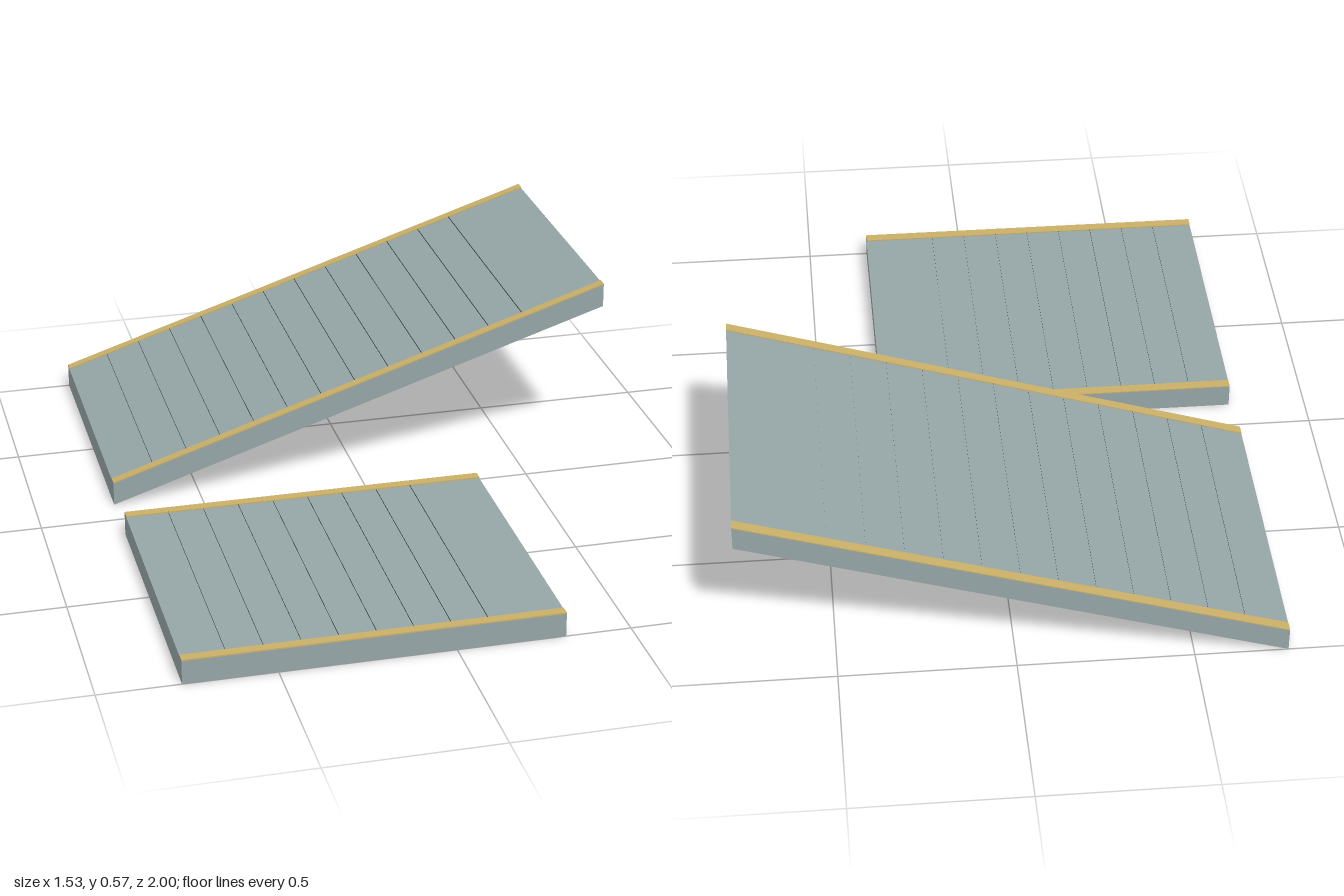
import * as THREE from 'three';

const slabMat = new THREE.MeshStandardMaterial({ color: 0x95a5a6 });
slabMat.name = 'grey slab';
const trimMat = new THREE.MeshStandardMaterial({ color: 0xc9b068 });
trimMat.name = 'ochre trim';
const ribMat = new THREE.MeshStandardMaterial({ color: 0x3e484a, side: THREE.DoubleSide });
ribMat.name = 'dark rib';

const X0 = -0.765, THICK = 0.07, DEPTH = 0.9, TRIM_W = 0.03, TRIM_H = 0.004;

// Box from x0..x1 resting at y, sheared upward along x so its ends stay vertical
function shearedBox(name, mat, x0, x1, y, h, z, d, slope) {
  const geo = new THREE.BoxGeometry(x1 - x0, h, d);
  geo.translate((x0 + x1) / 2, y + h / 2, z);
  const p = geo.attributes.position;
  for (let i = 0; i < p.count; i++) p.setY(i, p.getY(i) + (p.getX(i) - X0) * slope);
  geo.computeVertexNormals();
  const mesh = new THREE.Mesh(geo, mat);
  mesh.name = name;
  return mesh;
}

// Deck panel with two edge trims and upright cross ribs
function panel(name, length, rise, zMid) {
  const g = new THREE.Group();
  g.name = name;
  const x1 = X0 + length, slope = rise / length;
  g.add(shearedBox('slab', slabMat, X0, x1, 0, THICK, zMid, DEPTH, slope));
  for (const s of [-1, 1]) {
    const z = zMid + s * (DEPTH - TRIM_W) / 2;
    g.add(shearedBox('edgeTrim', trimMat, X0, x1, THICK, TRIM_H, z, TRIM_W, slope));
  }
  // Paper-thin ribs across the deck
  const ribGeo = new THREE.PlaneGeometry(DEPTH - 2 * TRIM_W, TRIM_H);
  ribGeo.rotateY(Math.PI / 2);
  for (let x = 0.125; x < length - 0.15; x += 0.105) {
    const rib = new THREE.Mesh(ribGeo, ribMat);
    rib.name = 'crossRib';
    rib.position.set(X0 + x, THICK + x * slope + TRIM_H / 2, zMid);
    g.add(rib);
  }
  return g;
}

export function createModel() {
  const model = new THREE.Group();
  model.name = 'rampSet';
  model.add(panel('flatPlatform', 1.077, 0, 0.55));
  model.add(panel('slopedRamp', 1.53, 0.493, -0.55));
  return model;
}
